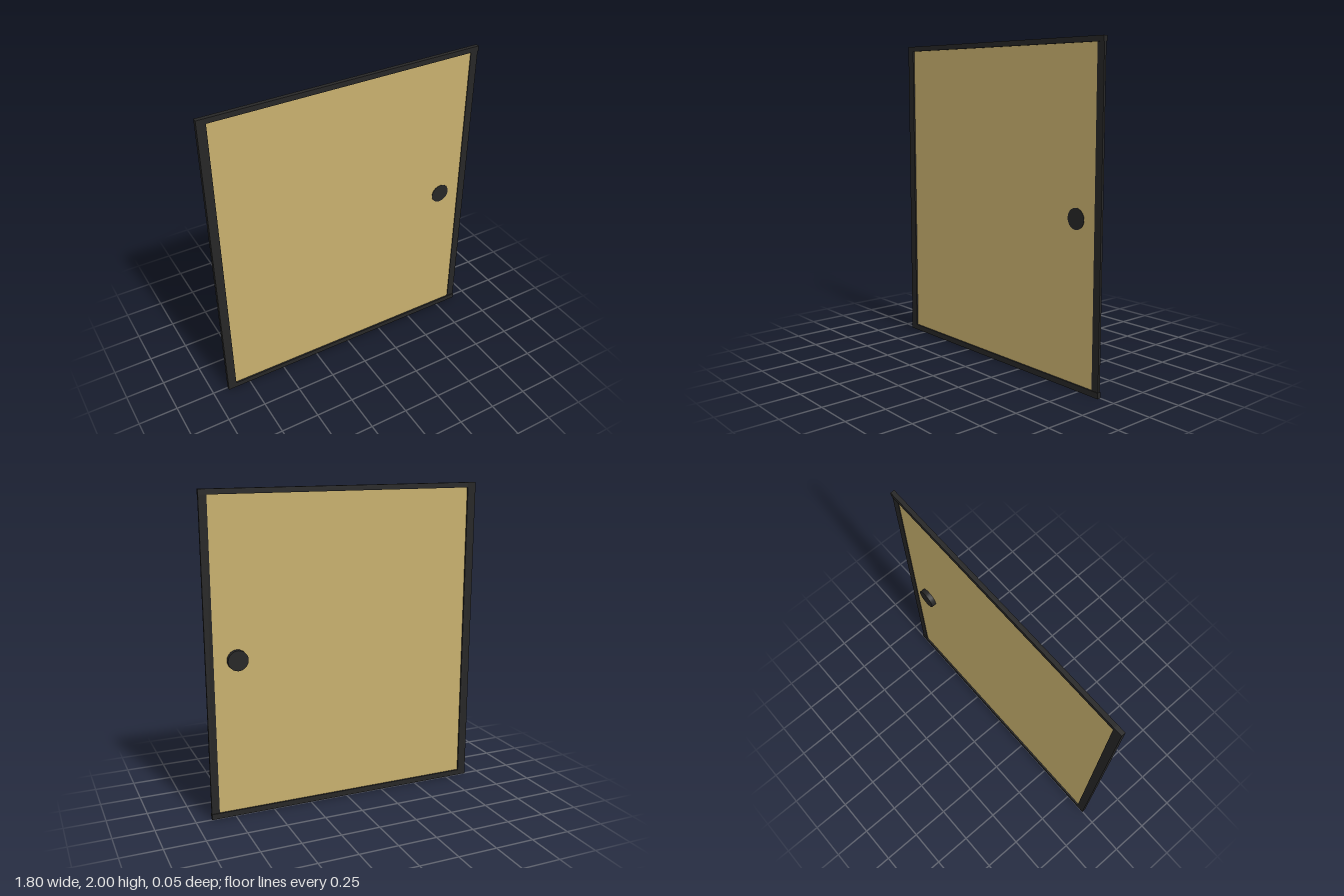
import * as THREE from 'three';

export function createModel() {
  const group = new THREE.Group();
  const dark = new THREE.MeshStandardMaterial({ color: 0x262626 });
  const amber = new THREE.MeshStandardMaterial({ color: 0xc8b06e });

  // Box given by its limits on each axis
  const slab = (name, [x0, x1], [y0, y1], [z0, z1], material) => {
    const mesh = new THREE.Mesh(new THREE.BoxGeometry(x1 - x0, y1 - y0, z1 - z0), material);
    mesh.position.set((x0 + x1) / 2, (y0 + y1) / 2, (z0 + z1) / 2);
    mesh.name = name;
    group.add(mesh);
  };

  const depth = [-0.003, 0.023];
  const thin = [0.003, 0.018];

  // Frame: wide hinge stile, slimmer and thinner handle stile, two rails
  slab('hingeStile', [-0.9, -0.845], [0, 2], depth, dark);
  slab('handleStile', [0.85, 0.899], [0.035, 1.968], thin, dark);
  slab('topRail', [-0.845, 0.9], [1.968, 2], depth, dark);
  slab('bottomRail', [-0.845, 0.9], [0, 0.035], depth, dark);

  // Thin pane held inside the frame
  slab('pane', [-0.845, 0.85], [0.035, 1.968], [0.007, 0.013], amber);

  // Round handle through the pane, standing out at the back
  const front = 0.016, back = -0.023;
  const handle = new THREE.Mesh(new THREE.CylinderGeometry(0.063, 0.063, front - back, 20), dark);
  handle.rotation.x = Math.PI / 2;
  handle.position.set(0.706, 0.997, (front + back) / 2);
  handle.name = 'handle';
  group.add(handle);

  return group;
}
